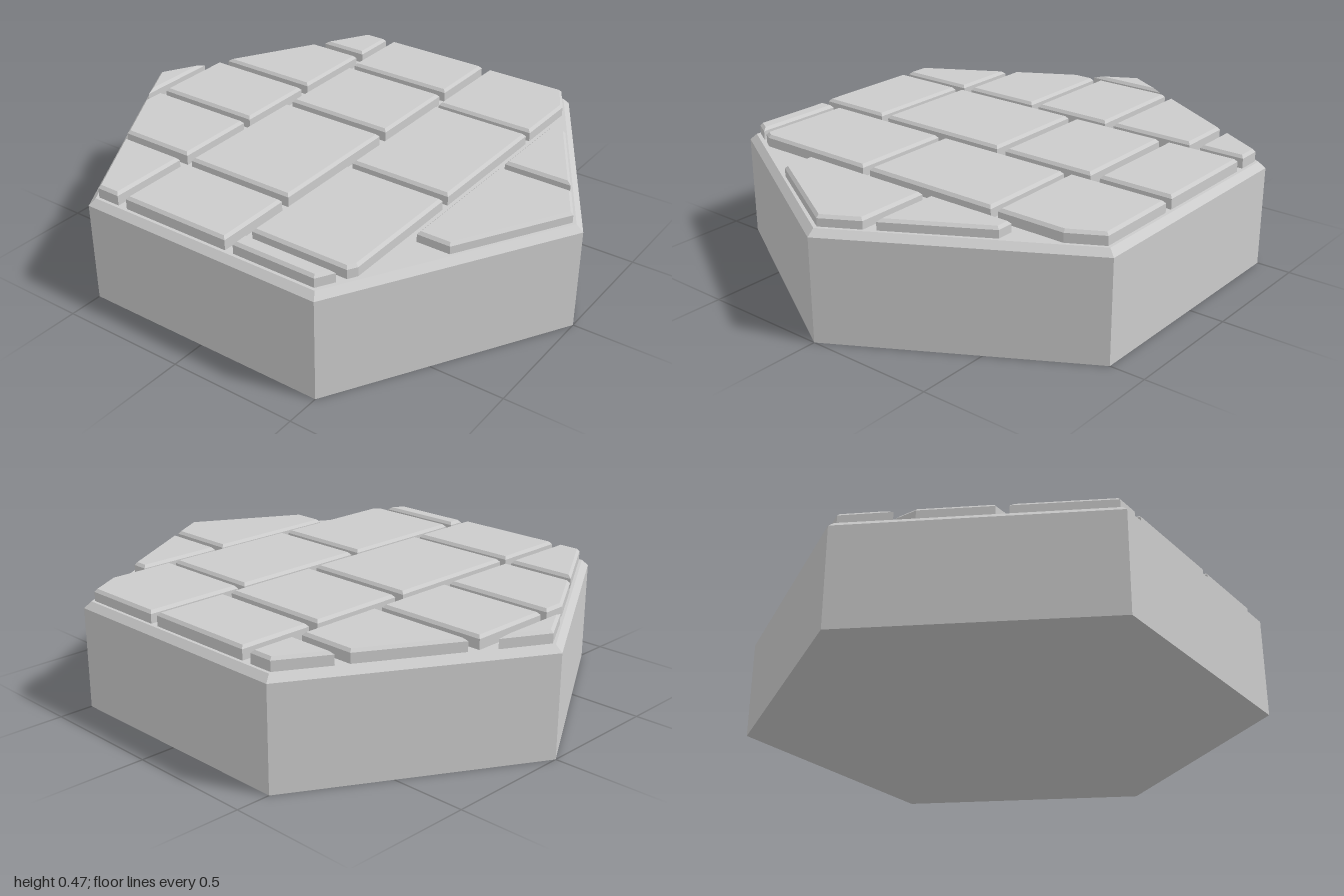
import * as THREE from 'three';

const material = new THREE.MeshStandardMaterial({ color: 0xcccccc, flatShading: true });

// Move every edge of a convex outline inwards by d
function inset(points, d) {
  const n = points.length;
  return points.map((p, i) => {
    const a = points[(i + n - 1) % n], b = points[(i + 1) % n];
    const u = new THREE.Vector2(p[0] - a[0], p[1] - a[1]).normalize();
    const v = new THREE.Vector2(b[0] - p[0], b[1] - p[1]).normalize();
    const k = d / (1 + u.dot(v));
    return [p[0] - (u.y + v.y) * k, p[1] + (u.x + v.x) * k];
  });
}

// Closed slab with a chamfered top; the outline is [x, z] and convex
function slab(name, outline, y0, y1, bevel, drop) {
  const area = outline.reduce((s, p, i) => {
    const q = outline[(i + 1) % outline.length];
    return s + p[0] * q[1] - q[0] * p[1];
  }, 0);
  const base = area > 0 ? outline : [...outline].reverse();
  const ring = (pts, y) => pts.map(([x, z]) => [x, y, z]);
  const rings = [ring(base, y0), ring(base, y1 - drop), ring(inset(base, bevel), y1)];
  const n = base.length, pos = [];
  const tri = (a, b, c) => pos.push(...a, ...b, ...c);
  for (let r = 0; r < 2; r++) {
    for (let i = 0; i < n; i++) {
      const j = (i + 1) % n, lo = rings[r], hi = rings[r + 1];
      tri(lo[i], hi[i], hi[j]);
      tri(lo[i], hi[j], lo[j]);
    }
  }
  for (let i = 1; i < n - 1; i++) {
    tri(rings[2][0], rings[2][i + 1], rings[2][i]);
    tri(rings[0][0], rings[0][i], rings[0][i + 1]);
  }
  const geometry = new THREE.BufferGeometry();
  geometry.setAttribute('position', new THREE.Float32BufferAttribute(pos, 3));
  geometry.computeVertexNormals();
  const mesh = new THREE.Mesh(geometry, material);
  mesh.name = name;
  return mesh;
}

const rect = (x0, x1, z0, z1) => [[x0, z0], [x1, z0], [x1, z1], [x0, z1]];

export function createModel() {
  const model = new THREE.Group();
  model.name = 'hexagonalPavedTile';

  // Six-sided base with a chamfered rim
  const hexagon = Array.from({ length: 6 }, (_, i) => {
    const a = i * Math.PI / 3;
    return [Math.sin(a), Math.cos(a)];
  });
  model.add(slab('base', hexagon, 0, 0.415, 0.024, 0.024));

  // Paving rows from back to front: top height and stone outlines
  const rows = [
    { top: 0.462, stones: [[[-0.17, -0.865], [0, -0.96], [0.17, -0.865]]] },
    { top: 0.464, stones: [
      [[-0.83, -0.385], [-0.83, -0.48], [-0.51, -0.665], [-0.51, -0.385]],
      [[-0.47, -0.385], [-0.47, -0.69], [-0.235, -0.825], [-0.145, -0.825], [-0.145, -0.385]],
      rect(-0.11, 0.22, -0.825, -0.385),
      [[0.26, -0.385], [0.26, -0.81], [0.605, -0.61], [0.605, -0.385]],
      [[0.65, -0.385], [0.65, -0.585], [0.83, -0.48], [0.83, -0.385]],
    ] },
    { top: 0.465, stones: [
      rect(-0.83, -0.525, -0.345, 0.105),
      rect(-0.49, 0.07, -0.345, 0.105),
      rect(0.11, 0.495, -0.345, 0.105),
      rect(0.535, 0.83, -0.345, 0.105),
    ] },
    { top: 0.461, stones: [
      [[-0.83, 0.14], [-0.765, 0.14], [-0.765, 0.512], [-0.83, 0.475]],
      [[-0.73, 0.14], [-0.19, 0.14], [-0.19, 0.55], [-0.695, 0.55], [-0.73, 0.53]],
      rect(-0.155, 0.405, 0.14, 0.55),
      [[0.435, 0.14], [0.83, 0.14], [0.83, 0.48], [0.705, 0.55], [0.435, 0.55]],
    ] },
    { top: 0.456, stones: [
      [[-0.415, 0.59], [0.135, 0.59], [0.135, 0.88], [0, 0.957], [-0.415, 0.72]],
      [[0.175, 0.59], [0.525, 0.59], [0.525, 0.655], [0.175, 0.857]],
    ] },
  ];
  const paving = new THREE.Group();
  paving.name = 'paving';
  rows.forEach(({ top, stones }, r) => stones.forEach((outline, s) =>
    paving.add(slab(`pavingStone${r + 1}_${s + 1}`, outline, 0.41, top, 0.01, 0.011))));
  model.add(paving);
  return model;
}
